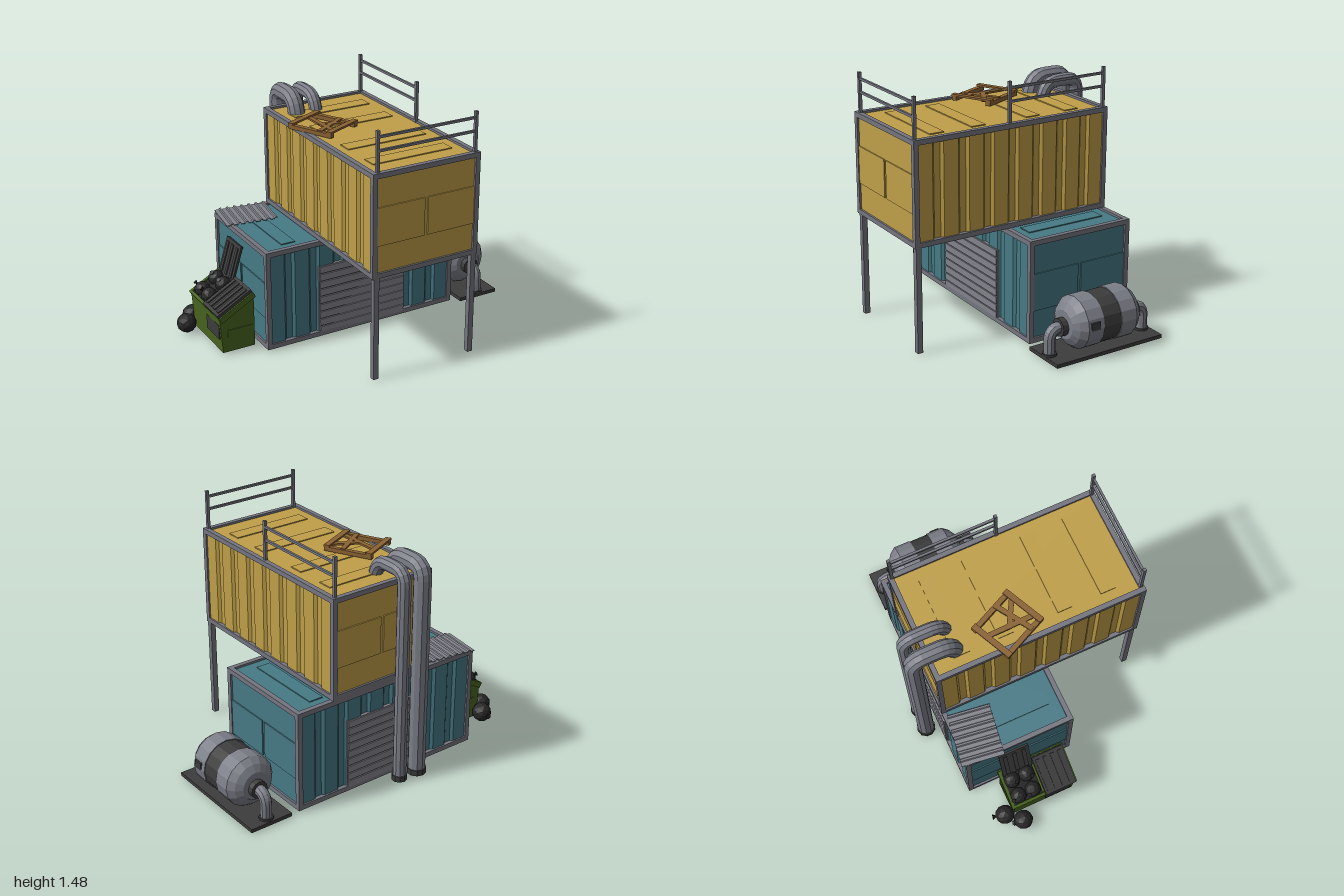
import * as THREE from 'three';

const mat = (color, side = THREE.FrontSide) => {
  const m = new THREE.MeshStandardMaterial({ color, flatShading: true, side });
  return m;
};
const STEEL = mat(0x74757f), DOOR = mat(0x83838d), YELLOW = mat(0xbf9f48), TEAL = mat(0x467a85);
const DARK = mat(0x3c3c3c), GREEN = mat(0x48651f), WOOD = mat(0x8a6233), BAG = mat(0x262626);
const TANK = mat(0x7d7f89);

function add(parent, name, geo, material, x = 0, y = 0, z = 0) {
  const m = new THREE.Mesh(geo, material);
  m.name = name;
  m.position.set(x, y, z);
  parent.add(m);
  return m;
}
const box = (p, name, material, w, h, d, x, y, z) =>
  add(p, name, new THREE.BoxGeometry(w, h, d), material, x, y, z);
const group = (p, name) => {
  const g = new THREE.Group();
  g.name = name;
  p.add(g);
  return g;
};
const v = (x, y, z) => new THREE.Vector3(x, y, z);

// Wall with seven vertical trapezoid grooves; outer face towards +z
function corrugatedWall(len, h) {
  const outer = [[-len / 2, 0]];
  for (let i = -3; i <= 3; i++) {
    const c = i * 0.162;
    outer.push([c - 0.035, 0], [c - 0.02, -0.015], [c + 0.02, -0.015], [c + 0.035, 0]);
  }
  outer.push([len / 2, 0]);
  const inner = outer.map(([x, z]) => [x, z - 0.01]).reverse();
  const shape = new THREE.Shape([...outer, ...inner].map(([x, z]) => new THREE.Vector2(x, -z)));
  return new THREE.ExtrudeGeometry(shape, { depth: h, bevelEnabled: false }).rotateX(-Math.PI / 2)
    .scale(1, 1, 1).translate(0, 0, 0);
}

function container(parent, name, paint, L, W, H, ribs, withDoors, withFloor) {
  const g = group(parent, name), t = 0.03;
  // Edge frame
  for (const a of [-1, 1]) for (const b of [-1, 1]) {
    const px = a * (L - t) / 2, pz = b * (W - t) / 2;
    box(g, 'cornerPost', STEEL, t, H, t, px, H / 2, pz);
    const y = a > 0 ? H - t / 2 : t / 2;
    box(g, 'longBeam', STEEL, L - 0.004, t, t, 0, y, pz);
    box(g, 'crossBeam', STEEL, t, t, W - 0.004, b * (L - t) / 2, y, 0);
  }
  // Long walls, with roller doors where wanted
  for (const s of [1, -1]) {
    const side = group(g, 'longSide');
    side.rotation.y = s > 0 ? 0 : Math.PI;
    add(side, 'corrugatedWall', corrugatedWall(L - 0.04, H - 0.03), paint, 0, 0.015, W / 2 - 0.01);
    if (!withDoors) continue;
    box(side, 'doorBacking', DOOR, 0.59, 0.44, 0.03, 0, 0.235, W / 2 - 0.022);
    for (let i = 0; i < 9; i++)
      box(side, 'doorSlat', DOOR, 0.58, 0.042, 0.012, 0, 0.039 + i * 0.049, W / 2 - 0.006);
  }
  // End walls with a raised middle band split in two
  for (const s of [1, -1]) {
    const end = group(g, 'endSide');
    end.rotation.y = s * Math.PI / 2;
    box(end, 'endWall', paint, W - 0.04, H - 0.03, 0.01, 0, H / 2, L / 2 - 0.017);
    for (const k of [-1, 1])
      box(end, 'raisedPanel', paint, W / 2 - 0.04, 0.225, 0.012, k * (W / 4 - 0.01), H / 2 - 0.005, L / 2 - 0.011);
  }
  // Roof, roof ribs and optional floor
  box(g, 'roof', paint, L - 0.04, 0.01, W - 0.04, 0, H - 0.018, 0);
  for (const x of ribs) box(g, 'roofRib', paint, 0.09, 0.012, 0.51, x, H - 0.013, 0);
  if (withFloor) box(g, 'floorPanel', paint, L - 0.04, 0.01, W - 0.04, 0, 0.012, 0);
  return g;
}

// Railing running along +x from its origin
function railing(parent, len) {
  const g = group(parent, 'railing');
  for (const x of [0, len]) box(g, 'railPost', STEEL, 0.018, 0.25, 0.018, x, 0.125, 0);
  for (const y of [0.135, 0.213]) box(g, 'railBar', STEEL, len, 0.014, 0.014, len / 2, y, 0);
  return g;
}

// Tube through points with rounded corners
function bentPipe(points, r, bend, segs) {
  const path = new THREE.CurvePath();
  let from = points[0];
  for (let i = 1; i < points.length - 1; i++) {
    const p = points[i];
    const a = p.clone().add(points[i - 1].clone().sub(p).setLength(bend));
    const b = p.clone().add(points[i + 1].clone().sub(p).setLength(bend));
    path.add(new THREE.LineCurve3(from, a));
    path.add(new THREE.QuadraticBezierCurve3(a, p, b));
    from = b;
  }
  path.add(new THREE.LineCurve3(from, points[points.length - 1]));
  return new THREE.TubeGeometry(path, segs, r, 10);
}

function tankUnit(parent) {
  const g = group(parent, 'tankUnit');
  g.position.set(0.845, 0, -0.21);
  box(g, 'basePlate', DARK, 0.27, 0.022, 0.73, -0.005, 0.014, -0.005);
  const lathe = (name, pts, m) => add(g, name, new THREE.LatheGeometry(
    pts.map(p => new THREE.Vector2(...p)), 16).rotateX(Math.PI / 2), m, 0, 0.185, 0);
  lathe('tankBody', [[0, -0.23], [0.085, -0.23], [0.125, -0.205], [0.155, -0.165], [0.155, -0.06], [0.148, -0.06],
    [0.148, 0.06], [0.155, 0.06], [0.155, 0.165], [0.125, 0.205], [0.085, 0.23], [0, 0.23]], TANK);
  lathe('tankBand', [[0.14, -0.06], [0.15, -0.06], [0.15, 0.06], [0.14, 0.06]], DARK);
  box(g, 'gaugePlate', DARK, 0.012, 0.045, 0.06, 0.151, 0.205, 0.12);
  for (const s of [-1, 1]) {
    const collar = new THREE.CylinderGeometry(0.053, 0.053, 0.04, 12).rotateX(Math.PI / 2);
    add(g, 'collar', collar, DARK, 0, 0.175, s * 0.245);
    add(g, 'outletPipe', bentPipe([v(0, 0.175, s * 0.24), v(0, 0.175, s * 0.322), v(0, 0.02, s * 0.322)],
      0.034, 0.06, 18), TANK);
    add(g, 'pipeFoot', new THREE.CylinderGeometry(0.042, 0.042, 0.015, 12), DARK, 0, 0.03, s * 0.322);
  }
}

function rubbishBag(parent, r, x, y, z) {
  const b = add(parent, 'rubbishBag', new THREE.IcosahedronGeometry(r, 1), BAG, x, y, z);
  b.rotation.set(x * 9, z * 7, 0.2);
  add(b, 'bagKnot', new THREE.ConeGeometry(r * 0.3, r * 0.5, 6), BAG, 0, r * 1.05, 0).rotation.x = Math.PI;
}

function dumpster(parent) {
  const g = group(parent, 'dumpster');
  const outline = [[-0.87, 0.012], [-0.665, 0.012], [-0.665, 0.345], [-0.885, 0.225]];
  const shape = new THREE.Shape(outline.map(p => new THREE.Vector2(...p)));
  add(g, 'bin', new THREE.ExtrudeGeometry(shape, { depth: 0.4, bevelEnabled: false }), GREEN, 0, 0, -0.385);
  box(g, 'sidePanel', DARK, 0.012, 0.09, 0.17, -0.878, 0.14, -0.09);
  for (const z of [0.016, -0.386]) box(g, 'endPanel', GREEN, 0.16, 0.045, 0.008, -0.76, 0.13, z);
  // Sloping rim, closed lid and bags, laid out on the slanted top
  const top = group(g, 'slantedTop');
  top.position.set(-0.775, 0.287, -0.185);
  top.rotation.z = 0.5;
  for (const s of [-1, 1]) {
    box(top, 'rimEnd', GREEN, 0.25, 0.035, 0.018, 0, 0, s * 0.205);
    box(top, 'rimSide', GREEN, 0.018, 0.035, 0.42, s * 0.117, 0, 0);
  }
  box(top, 'openMouth', BAG, 0.22, 0.01, 0.19, 0, 0.004, -0.1);
  box(top, 'closedLid', DARK, 0.25, 0.02, 0.2, 0, 0.028, 0.105);
  for (let i = 0; i < 4; i++) box(top, 'lidRib', DARK, 0.21, 0.01, 0.025, 0, 0.041, 0.033 + i * 0.048);
  for (const x of [-0.06, 0.045]) for (const z of [-0.15, -0.055])
    rubbishBag(top, 0.05, x, 0.01, z);
  // Open lid leaning on the container
  const lid = box(g, 'openLid', DARK, 0.014, 0.23, 0.19, -0.668, 0.445, -0.28);
  lid.rotation.z = -0.3;
  for (const z of [-0.06, 0, 0.06]) box(lid, 'lidRib', DARK, 0.008, 0.19, 0.025, -0.009, 0, z);
  // Bags on the ground
  rubbishBag(g, 0.06, -0.94, 0.062, -0.35);
  rubbishBag(g, 0.06, -0.865, 0.062, -0.44);
}

function pallet(parent) {
  const g = group(parent, 'brokenPallet');
  g.position.set(-0.14, 1.255, -0.085);
  g.rotation.y = 0.44;
  for (const s of [-1, 1]) {
    box(g, 'runner', WOOD, 0.03, 0.025, 0.3, s * 0.117, 0, 0);
    box(g, 'endPlank', WOOD, 0.27, 0.012, 0.035, 0, 0.019, s * 0.134);
  }
  // Loose planks: length, x, z, turn
  for (const [len, x, z, turn] of [[0.25, 0, 0.05, 0.12], [0.27, -0.02, 0.0, 1.15], [0.19, 0.03, 0.06, -0.95]])
    box(g, 'loosePlank', WOOD, len, 0.012, 0.03, x, 0.012, z).rotation.y = turn;
}

function roofSheet(parent) {
  const top = [], n = 7, w = 0.32 / n;
  for (let i = 0; i < n; i++) {
    const x = -0.16 + i * w;
    top.push([x, 0], [x + w * 0.55, 0], [x + w * 0.65, 0.009], [x + w * 0.9, 0.009]);
  }
  top.push([0.16, 0]);
  const pts = [...top, ...top.map(([x, y]) => [x, y - 0.004]).reverse()];
  const shape = new THREE.Shape(pts.map(p => new THREE.Vector2(...p)));
  const geo = new THREE.ExtrudeGeometry(shape, { depth: 0.26, bevelEnabled: false }).translate(0, 0, -0.13);
  add(parent, 'corrugatedSheet', geo, DOOR, -0.478, 0.636, -0.448).rotation.y = -0.14;
}

export function createModel() {
  const model = new THREE.Group();
  model.name = 'containerOutpost';

  // Stacked containers
  container(model, 'lowerContainer', TEAL, 1.28, 0.69, 0.62, [-0.45, 0.45], true, false)
    .position.set(0.012, 0.01, -0.23);
  const upper = container(model, 'upperContainer', YELLOW, 1.28, 0.69, 0.615, [-0.445, -0.18, 0.18, 0.445], false, true);
  upper.position.set(0.067, 0.63, 0.065);
  upper.rotation.y = Math.PI / 2;

  // Support legs and roof railings
  for (const x of [-0.248, 0.392]) box(model, 'supportLeg', STEEL, 0.033, 0.635, 0.033, x, 0.3175, 0.683);
  railing(model, 0.625).position.set(-0.24, 1.23, 0.685);
  const sideRail = railing(model, 0.64);
  sideRail.position.set(0.388, 1.23, 0.085);
  sideRail.rotation.y = Math.PI / 2;

  // Duct pipes from the ground over the back edge into the roof
  for (const [x, r, top] of [[-0.14, 0.052, 1.322], [-0.01, 0.04, 1.318]]) {
    const pts = [v(x, 0.015, -0.655), v(x, top, -0.655), v(x, top, -0.435), v(x, 1.2, -0.4)];
    add(model, 'ductPipe', bentPipe(pts, r, 0.075, 60), TANK);
    add(model, 'ductFoot', new THREE.CylinderGeometry(r + 0.006, r + 0.006, 0.035, 10), DARK, x, 0.028, -0.655);
  }

  tankUnit(model);
  dumpster(model);
  pallet(model);
  roofSheet(model);
  return model;
}
